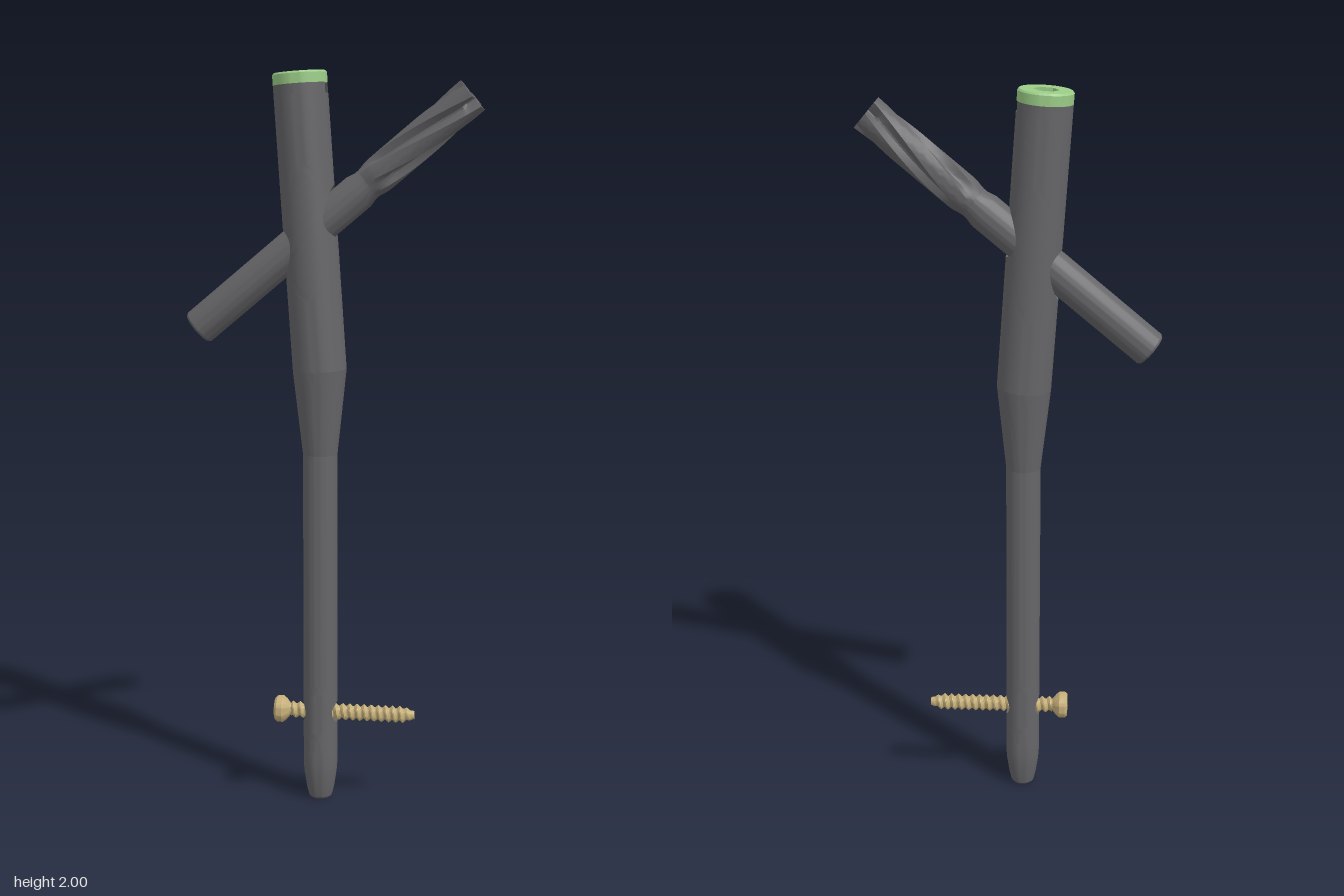
import * as THREE from 'three';
import { mergeGeometries, toCreasedNormals } from 'three/addons/utils/BufferGeometryUtils.js';

const TAU = Math.PI * 2, N = 48;

// Grid surface: rows x cols cells, f(i, j) returns [x, y, z]
function grid(rows, cols, f) {
  const pos = [], idx = [], w = cols + 1;
  for (let i = 0; i <= rows; i++) for (let j = 0; j <= cols; j++) pos.push(...f(i, j));
  for (let i = 0; i < rows; i++) for (let j = 0; j < cols; j++) {
    const a = i * w + j, b = a + w;
    idx.push(a, b, b + 1, a, b + 1, a + 1);
  }
  const g = new THREE.BufferGeometry();
  g.setAttribute('position', new THREE.Float32BufferAttribute(pos, 3));
  g.setIndex(idx);
  return g;
}

const polar = (r, y, a) => [r * Math.cos(a), y, r * Math.sin(a)];

// Turned solid about y from [radius, y, hexagonal?] rings
function turned(rings) {
  return grid(rings.length - 1, N, (i, j) => {
    const [r, y, hex] = rings[i], a = (j % N) / N * TAU;
    const k = hex ? Math.cos(Math.PI / 6) / Math.cos((a % (Math.PI / 3)) - Math.PI / 6) : 1;
    return polar(r * k, y, a);
  });
}

// Tube section of radius r, centred on yc, with a round hole R bored through it at a slope
function boredSection(r, yc, H, R, slope) {
  const n = N / 2, dx = Math.cos(slope), tan = Math.tan(slope), parts = [];
  const edgeY = (s, t) =>
    R * Math.cos(t) / dx + s * Math.sqrt(r * r - (R * Math.sin(t)) ** 2) * tan;
  for (const s of [1, -1]) {
    parts.push(grid(5, 4 * n, (i, j) => {
      const k = j % (4 * n), f = (k % n) / n * 2 - 1;
      const [u, v] = [[1, f], [-f, 1], [-1, -f], [f, -1]][Math.floor(k / n)];
      const t = Math.atan2(u, v), m = i / 5;
      const phi = THREE.MathUtils.lerp(u * Math.PI / 2, Math.asin(R * Math.sin(t) / r), m);
      const y = THREE.MathUtils.lerp(v * H, edgeY(s, t), m);
      return [s * r * Math.cos(phi), yc + y, s * r * Math.sin(phi)];
    }));
  }
  // wall of the bore
  parts.push(grid(1, N, (i, j) => {
    const t = (j % N) / N * TAU, s = i ? 1 : -1, z = R * Math.sin(t);
    return [s * Math.sqrt(r * r - z * z), yc + edgeY(s, t), z];
  }));
  return mergeGeometries(parts);
}

export function createModel() {
  const material = (name, color) => {
    const m = new THREE.MeshStandardMaterial({ color, side: THREE.DoubleSide });
    m.name = name;
    return m;
  };
  const steel = material('darkSteel', 0x666669);
  const brass = material('brass', 0xc6b07a);
  const green = material('greenCap', 0x9ccd88);

  const root = new THREE.Group();
  const group = (name, x, y, rot) => {
    const g = new THREE.Group();
    g.name = name;
    g.position.set(x, y, 0);
    g.rotation.z = rot;
    root.add(g);
    return g;
  };
  const add = (parent, name, geo, mat) => {
    const m = new THREE.Mesh(toCreasedNormals(geo, 0.5), mat);
    m.name = name;
    parent.add(m);
    return m;
  };

  const tilt = 0.068, bendY = 1.2, r0 = 0.047, r1 = 0.073;

  // Straight lower rod with a cross bore
  const rod = group('lowerRod', -0.034, 0, 0);
  add(rod, 'rodShaft', mergeGeometries([
    turned([[0, 0.14], [r0, 0.14], [r0, 0.167]]),
    boredSection(r0, 0.247, 0.08, 0.029, 0),
    turned([[r0, 0.327], [r0, 0.97]]),
  ]), steel);

  // Taper joining the straight rod to the tilted upper part
  add(rod, 'rodTaper', grid(6, N, (i, j) => {
    const f = i / 6, r = THREE.MathUtils.lerp(r0, r1, f), t = tilt * f;
    const [x, , z] = polar(r, 0, (j % N) / N * TAU);
    return [x * Math.cos(t) - 0.001 * f, 0.97 + (bendY - 0.97) * f + x * Math.sin(t), z];
  }), steel);

  // Slotted tip: two half-round prongs
  const prong = [[0.026, 0], [0.032, 0.006], [0.038, 0.03], [0.045, 0.075], [r0, 0.1], [r0, 0.14]];
  for (const side of [0, 1]) {
    const geo = grid(prong.length, 15, (i, j) => {
      if (i === 0) return [0, 0, 0.012];
      const [r, y] = prong[i - 1], a = Math.asin(0.007 / r);
      return polar(r, y, a + (j % 15) / 14 * (Math.PI - 2 * a));
    });
    add(rod, 'slottedTip', geo, steel).rotation.y = side * Math.PI;
  }

  // Tilted upper rod with a slanted bore, and a notch below the cap
  const upper = group('upperRod', -0.035, bendY, tilt);
  const angle = 0.696;
  add(upper, 'upperShaft', mergeGeometries([
    turned([[r1, 0], [r1, 0.191]]),
    boredSection(r1, 0.371, 0.18, 0.056, angle - tilt),
    turned([[r1, 0.551], [r1, 0.735], [0, 0.735]]),
  ]), steel);
  add(upper, 'notchedRim',
    new THREE.CylinderGeometry(r1, r1, 0.028, 44, 1, true, Math.PI / 2 + 0.3, TAU - 0.6)
      .translate(0, 0.749, 0), steel);

  // End cap with a hexagonal socket
  add(upper, 'endCap', turned([
    [0.064, 0.735], [0.064, 0.763], [r1, 0.763], [r1, 0.79], [0.069, 0.795],
    [0.034, 0.795, 1], [0.034, 0.785, 1], [0, 0.762],
  ]), green);

  // Slanted bolt: smooth shank, then four twisted flutes
  const bolt = group('slantedBolt', -0.371, 1.31, angle - Math.PI / 2);
  add(bolt, 'boltShank', turned([
    [0, 0.03], [0.022, 0.03], [0.022, 0], [0.046, 0], [0.05, 0.006],
    [0.05, 0.575], [0.044, 0.6], [0.044, 0.615],
  ]), steel);
  const flute = [0, 0, 0, 0, 0, 0, 0.7, 1, 1, 0.6];
  const rows = 28, len = 0.355;
  add(bolt, 'boltFlutes', grid(rows + 3, 40, (i, j) => {
    const f = Math.min(i / rows, 1), y = 0.612 + len * f;
    const a = (j % 40) / 40 * TAU - f * 1.7;
    if (i === rows + 1) return polar(0.016, y, a);
    if (i === rows + 2) return polar(0.016, y - 0.04, a);
    if (i === rows + 3) return [0, y - 0.04, 0];
    const depth = Math.min(1, f * 5) * (f > 0.91 ? 0.028 : 0.016);
    const outer = 0.044 + 0.006 * Math.min(1, f * 12);
    return polar(outer - depth * flute[j % 10], y, a);
  }), steel);

  // Cross screw: socketed head and spiral thread
  const screw = group('crossScrew', -0.161, 0.247, -Math.PI / 2);
  add(screw, 'screwHead', turned([
    [0, 0.018], [0.018, 0.014, 1], [0.018, 0, 1], [0.031, 0], [0.037, 0.007],
    [0.037, 0.022], [0.03, 0.031], [0.017, 0.042], [0.015, 0.05],
  ]), brass);
  add(screw, 'screwThread', grid(108, 24, (i, j) => {
    const y = 0.045 + Math.min(i, 107) / 107 * 0.345, a = (j % 24) / 24 * TAU;
    if (i === 108) return [0, y, 0];
    const p = y / 0.02 + (j % 24) / 24, ridge = Math.abs((p - Math.floor(p)) * 2 - 1);
    const fade = Math.min(1, (0.39 - y) / 0.03);
    return polar(0.011 + 0.004 * fade + 0.009 * ridge * fade, y, a);
  }), brass);

  return root;
}
